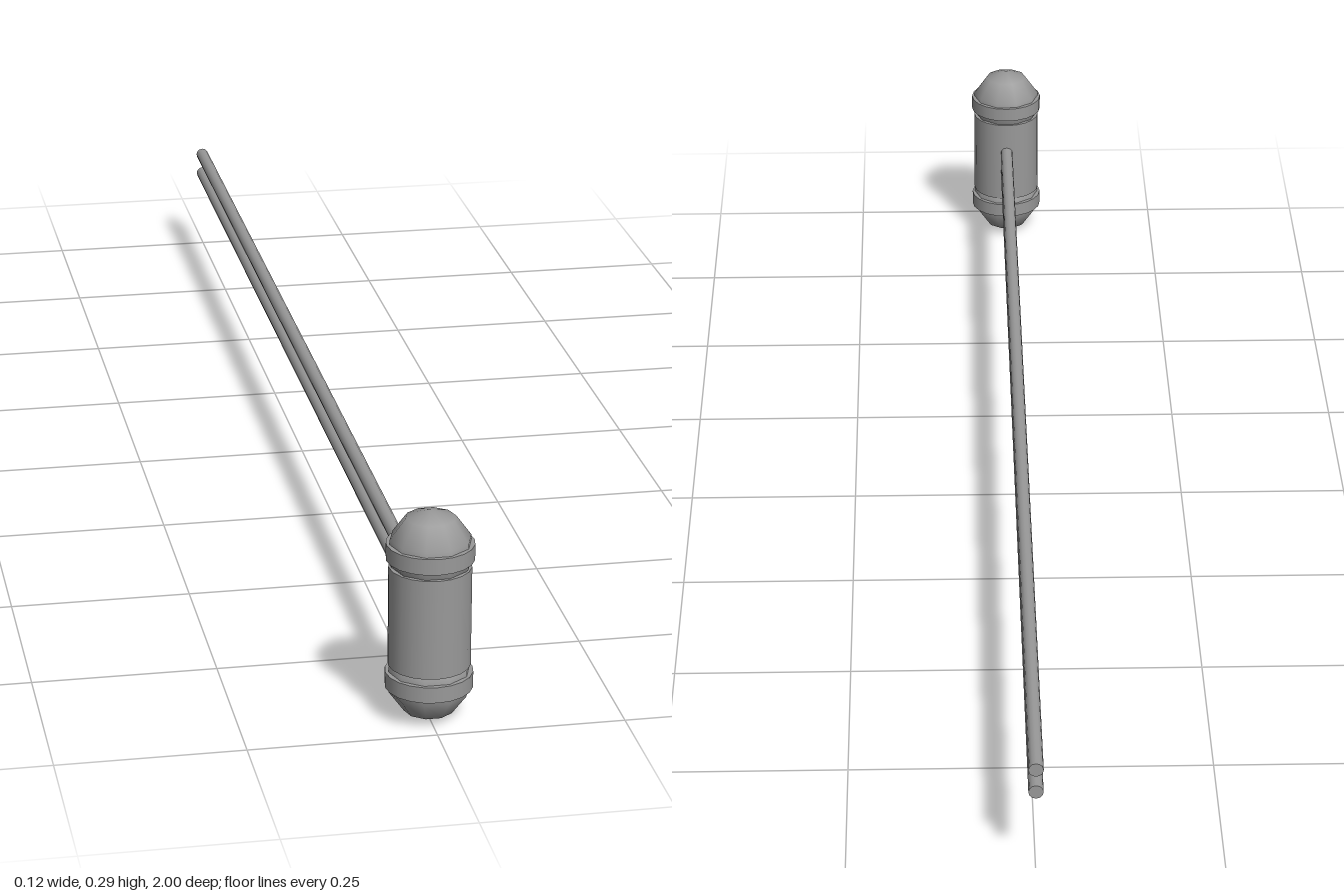
import * as THREE from 'three';

export function createModel() {
  const group = new THREE.Group();
  const material = new THREE.MeshStandardMaterial({ color: 0x999999 });
  const midY = 0.147;
  const headZ = 0.942;

  const add = (name, geometry, y, z) => {
    const mesh = new THREE.Mesh(geometry, material);
    mesh.name = name;
    mesh.position.set(0, y, z);
    group.add(mesh);
  };

  // Upright drum of the head
  add('headBody', new THREE.CylinderGeometry(0.0545, 0.0545, 0.138, 20), midY, headZ);

  // Rounded caps, collars and twin rods, mirrored about the middle height
  for (const [side, s] of [['upper', 1], ['lower', -1]]) {
    add(side + 'Cap', new THREE.SphereGeometry(0.0565, 10, 5), midY + s * 0.09, headZ);
    add(side + 'Collar', new THREE.CylinderGeometry(0.058, 0.058, 0.022, 20), midY + s * 0.09, headZ);

    const rod = new THREE.CylinderGeometry(0.01, 0.01, 1.93, 12);
    rod.rotateX(Math.PI / 2);
    add(side + 'Rod', rod, midY + s * 0.017, -0.035);
  }

  return group;
}
